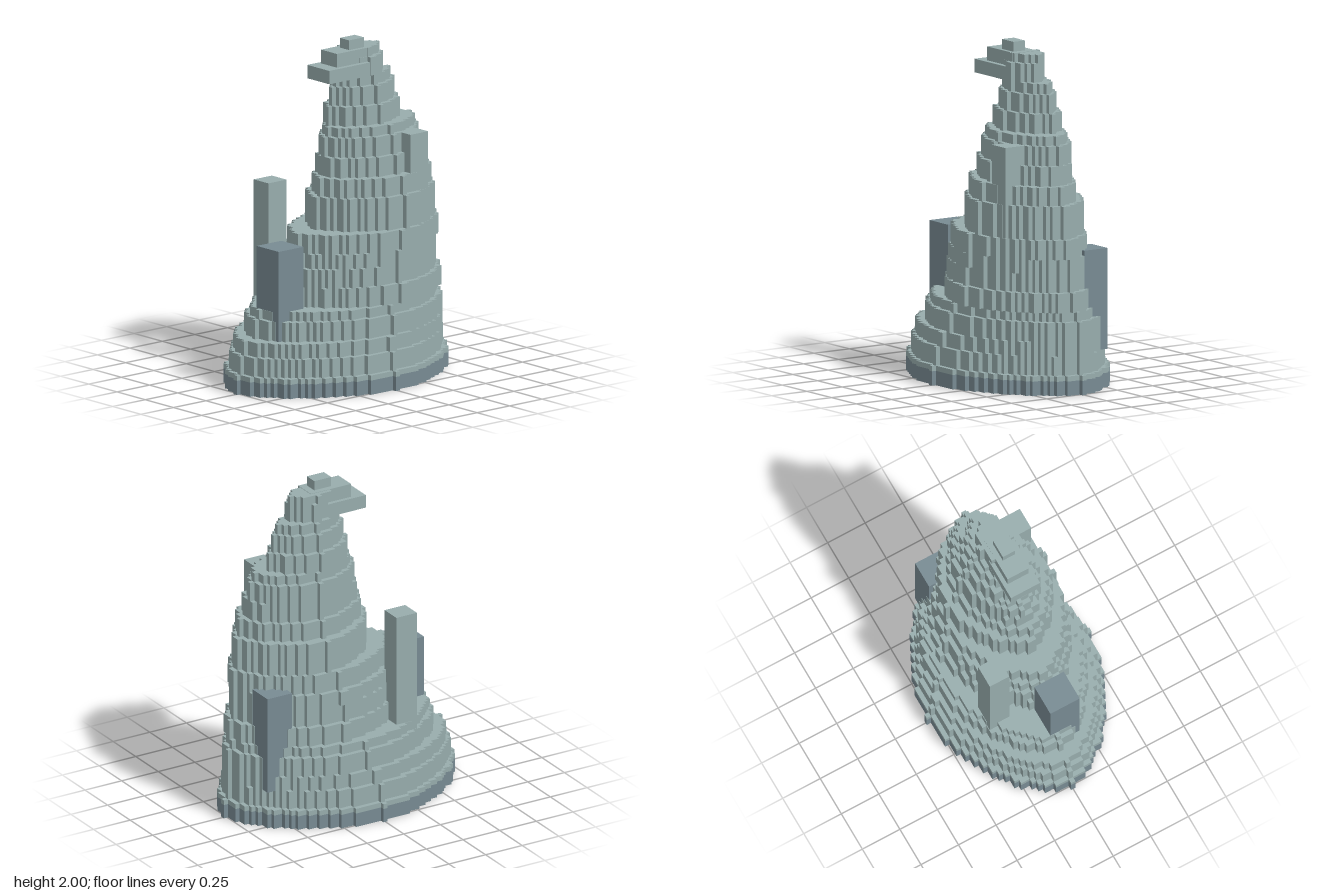
import * as THREE from 'three';

const CELL = 0.02815;
const rock = new THREE.MeshStandardMaterial({ color: 0x98adad, flatShading: true });
const slate = new THREE.MeshStandardMaterial({ color: 0x788b93, flatShading: true });

// Slightly pointed oval snapped to square cells, raised from y0 to y1
function steppedSlab(name, y0, y1, [xL, xR, zB, zF], material) {
  const [i0, k0] = [xL, zB].map((v) => Math.round(v / CELL + 0.5));
  const [i1, k1] = [xR, zF].map((v) => Math.round(v / CELL - 0.5));
  const cx = (i0 + i1) / 2, cz = (k0 + k1) / 2;
  const a = (i1 - i0 + 1) / 2, b = (k1 - k0 + 1) / 2;
  const left = [], right = [];
  for (let k = k0; k <= k1; k++) {
    // half width where the outer edge of this row meets the oval
    const t = (Math.abs(k - cz) + 0.5) / b;
    const w = a * Math.pow(Math.max(0, 1 - Math.pow(t, 1.7)), 1 / 1.7);
    const l = Math.min(Math.ceil(cx - w + 0.35), Math.floor(cx));
    const r = Math.max(Math.floor(cx + w - 0.35), Math.ceil(cx));
    for (const z of [k - 0.5, k + 0.5]) {
      left.push(new THREE.Vector2((l - 0.5) * CELL, -z * CELL));
      right.push(new THREE.Vector2((r + 0.5) * CELL, -z * CELL));
    }
  }
  const shape = new THREE.Shape([...left, ...right.reverse()]);
  const geo = new THREE.ExtrudeGeometry(shape, { depth: y1 - y0, bevelEnabled: false });
  geo.rotateX(-Math.PI / 2).translate(0, y0, 0);
  const mesh = new THREE.Mesh(geo, material);
  mesh.name = name;
  return mesh;
}

function block(name, x0, x1, y0, y1, z0, z1, material) {
  const mesh = new THREE.Mesh(new THREE.BoxGeometry(x1 - x0, y1 - y0, z1 - z0), material);
  mesh.position.set((x0 + x1) / 2, (y0 + y1) / 2, (z0 + z1) / 2);
  mesh.name = name;
  return mesh;
}

export function createModel() {
  const model = new THREE.Group();
  model.name = 'steppedRockSpire';

  // Dark foot and the rock rim on it
  const foot = [-0.774, 0.774, -0.549, 0.549];
  model.add(steppedSlab('foot', 0, 0.085, foot, slate));
  model.add(steppedSlab('footRim', 0.085, 0.115, foot, rock));

  // Terraces: bottom, top, left x, right x, back z, front z
  const terraces = [
    [0.115, 0.225, -0.75, 0.75, -0.52, 0.52],
    [0.225, 0.31, -0.72, 0.74, -0.49, 0.49],
    [0.31, 0.425, -0.635, 0.745, -0.465, 0.465],
    [0.425, 0.48, -0.605, 0.72, -0.435, 0.435],
    [0.48, 0.595, -0.41, 0.715, -0.38, 0.435],
    [0.595, 0.705, -0.41, 0.69, -0.35, 0.41],
    [0.705, 0.79, -0.38, 0.69, -0.35, 0.41],
    [0.79, 0.905, -0.355, 0.69, -0.32, 0.41],
    [0.905, 1.1, -0.22, 0.66, -0.295, 0.38],
    [1.1, 1.21, -0.185, 0.63, -0.25, 0.35],
    [1.21, 1.325, -0.16, 0.605, -0.21, 0.3],
    [1.325, 1.44, -0.13, 0.575, -0.21, 0.27],
    [1.44, 1.495, -0.1, 0.55, -0.18, 0.24],
    [1.495, 1.61, -0.07, 0.46, -0.18, 0.18],
    [1.61, 1.72, -0.045, 0.435, -0.155, 0.155],
    [1.72, 1.78, -0.015, 0.405, -0.13, 0.13],
    [1.78, 1.89, 0.0, 0.35, -0.1, 0.125],
    [1.89, 1.94, 0.015, 0.32, -0.1, 0.1],
  ];
  const body = new THREE.Group();
  body.name = 'terraces';
  terraces.forEach(([y0, y1, ...box], i) => body.add(steppedSlab(`terrace${i + 1}`, y0, y1, box, rock)));
  model.add(body);

  // Upright pillars around the slopes
  model.add(block('rightDarkPillar', -0.575, -0.385, 0.31, 0.85, -0.04, 0.155, slate));
  model.add(block('leftDarkPillar', 0.465, 0.63, 0.225, 0.82, -0.265, -0.1, slate));
  model.add(block('backPillar', -0.355, -0.215, 0.4, 1.16, -0.32, -0.19, rock));
  model.add(block('frontPillar', 0.295, 0.43, 0.8, 1.44, 0.18, 0.32, rock));

  // Overhanging summit blocks
  model.add(block('summitLedge', -0.16, 0.205, 1.78, 1.86, -0.07, 0.125, rock));
  model.add(block('summitBlock', -0.075, 0.2, 1.86, 1.942, -0.045, 0.095, rock));
  model.add(block('summitCap', 0.04, 0.155, 1.93, 2.0, -0.012, 0.07, rock));
  return model;
}
